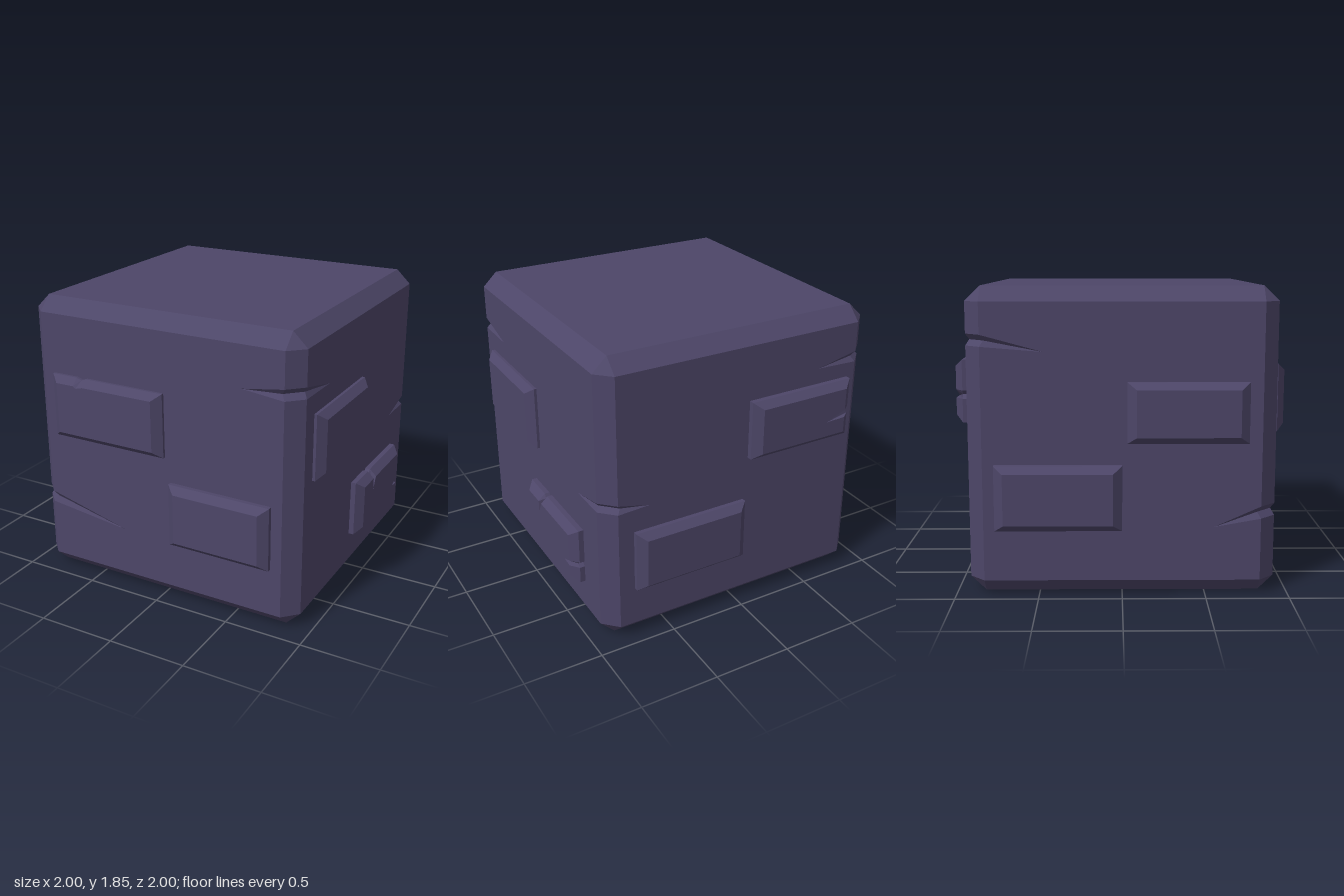
import * as THREE from 'three';

const H = 0.9225, C = 0.83, TOP = 1.85, LOW = 0.09, HIGH = 1.76;

// Cracks on the upright edges: edge k joins side k to side k + 1
// (sides run front, left, back, right). a and b are the crack tips on each side.
const edgeCracks = [
  { bot: 1.47, top: 1.54, a: [0.56, 1.5], b: [-0.51, 1.465] },
  { bot: 0.89, top: 0.95, a: [0.57, 0.89], b: [-0.62, 0.9] },
  { bot: 1.5, top: 1.57, a: [0.55, 1.51], b: [-0.46, 1.47] },
  { bot: 0.47, top: 0.545, a: [0.55, 0.42], b: [-0.26, 0.4] },
];

// Raised bricks in each side's own u (rightwards) and y, with optional chips
const bricks = [
  { side: 0, u: [-0.75, 0.045], y: [0.97, 1.38], depth: 0.985, topChip: { at: -0.535, half: 0.035, dip: 0.012, tip: [-0.55, 1.325] } },
  { side: 0, u: [0.08, 0.76], y: [0.4, 0.81], depth: 0.995 },
  { side: 1, u: [-0.72, 0.01], y: [0.93, 1.345], depth: 0.985 },
  { side: 1, u: [-0.09, 0.63], y: [0.285, 0.655], depth: 1,
    topChip: { at: 0.14, half: 0.02, dip: 0.025, tip: [0.12, 0.535] },
    sideChip: { at: 0.41, half: 0.018, dip: 0.025, tip: [0.5, 0.4] } },
  { side: 2, u: [0.055, 0.775], y: [1.03, 1.41], depth: 1, sideChip: { at: 1.2, half: 0.025, dip: 0.025, tip: [0.58, 1.17] } },
  { side: 2, u: [-0.73, 0.03], y: [0.345, 0.745], depth: 0.995 },
  { side: 3, u: [0.03, 0.75], y: [0.93, 1.295], depth: 0.985 },
  { side: 3, u: [-0.76, 0], y: [0.405, 0.8], depth: 1 },
];

// Collects flat polygons (corners counter-clockwise from outside)
class Faces {
  constructor() { this.positions = []; }
  fan(...pts) {
    for (let i = 1; i < pts.length - 1; i++) this.positions.push(...pts[0], ...pts[i], ...pts[i + 1]);
  }
  // Possibly concave outline in the xy plane at depth z
  panel(outline, z) {
    const pts = outline.map(([x, y]) => new THREE.Vector2(x, y));
    for (const tri of THREE.ShapeUtils.triangulateShape(pts, [])) {
      for (const i of tri) this.positions.push(pts[i].x, pts[i].y, z);
    }
  }
  mesh(name, material) {
    const geometry = new THREE.BufferGeometry();
    geometry.setAttribute('position', new THREE.Float32BufferAttribute(this.positions, 3));
    geometry.computeVertexNormals();
    const mesh = new THREE.Mesh(geometry, material);
    mesh.name = name;
    return mesh;
  }
}

// One upright side with its chamfers and the cracks at both edges
function blockSide(k, material) {
  const f = new Faces();
  const r = edgeCracks[k], l = edgeCracks[(k + 3) % 4];
  f.panel([[-C, LOW], [C, LOW], [C, r.bot], r.a, [C, r.top], [C, HIGH],
    [-C, HIGH], [-C, l.top], l.b, [-C, l.bot]], H);

  // Sloping walls of the cracks
  const inset = 0.022;
  const inner = (c) => c.bot + (c.top - c.bot) * 0.5;
  const rIn = [C - inset, inner(r), H - inset], lIn = [-C + inset, inner(l), H - inset];
  const rTip = [...r.a, H], lTip = [...l.b, H];
  f.fan(rTip, rIn, [C, r.top, H]);
  f.fan(rTip, [C, r.bot, H], rIn);
  f.fan(lTip, [-C, l.top, H], lIn);
  f.fan(lTip, lIn, [-C, l.bot, H]);

  // Right upright chamfer, pinched in at the crack
  const rows = [[LOW, 0], [r.bot, 0], [inner(r), inset], [r.top, 0], [HIGH, 0]];
  for (let i = 0; i < rows.length - 1; i++) {
    const [y0, d0] = rows[i], [y1, d1] = rows[i + 1];
    f.fan([C - d0, y0, H - d0], [H - d0, y0, C - d0], [H - d1, y1, C - d1], [C - d1, y1, H - d1]);
  }

  // Top and bottom chamfers with their corner triangles
  f.fan([-C, HIGH, H], [C, HIGH, H], [C, TOP, C], [-C, TOP, C]);
  f.fan([-C, 0, C], [C, 0, C], [C, LOW, H], [-C, LOW, H]);
  f.fan([C, HIGH, H], [H, HIGH, C], [C, TOP, C]);
  f.fan([C, LOW, H], [C, 0, C], [H, LOW, C]);
  return f.mesh('blockSide', material);
}

// Bevelled brick; chips are V cuts through the top or right edge
function brick({ u: [u0, u1], y: [y0, y1], depth, topChip, sideChip }, material) {
  const f = new Faces(), bu = 0.055, by = 0.042;
  const outer = [[u0, y0], [u1, y0]];
  const inner = [[u0 + bu, y0 + by], [u1 - bu, y0 + by]];
  if (sideChip) {
    const { at, half, dip, tip } = sideChip;
    outer.push([u1, at - half], [u1 - dip, at], [u1, at + half]);
    inner.push([u1 - bu, at - half], tip, [u1 - bu, at + half]);
  }
  outer.push([u1, y1]);
  inner.push([u1 - bu, y1 - by]);
  if (topChip) {
    const { at, half, dip, tip } = topChip;
    outer.push([at + half, y1], [at, y1 - dip], [at - half, y1]);
    inner.push([at + half, y1 - by], tip, [at - half, y1 - by]);
  }
  outer.push([u0, y1]);
  inner.push([u0 + bu, y1 - by]);

  const rim = depth - 0.045;
  outer.forEach((p, i) => {
    const j = (i + 1) % outer.length, q = outer[j];
    f.fan([...p, H - 0.01], [...q, H - 0.01], [...q, rim], [...p, rim]);
    f.fan([...p, rim], [...q, rim], [...inner[j], depth], [...inner[i], depth]);
  });
  f.panel(inner, depth);
  return f.mesh('brick', material);
}

export function createModel() {
  const model = new THREE.Group();
  model.name = 'stoneBlock';
  const stone = new THREE.MeshStandardMaterial({ color: 0x4d4668 });
  stone.name = 'purpleStone';

  for (let k = 0; k < 4; k++) {
    const side = new THREE.Group();
    side.name = ['frontSide', 'leftSide', 'backSide', 'rightSide'][k];
    side.rotation.y = k * Math.PI / 2;
    side.add(blockSide(k, stone));
    for (const b of bricks) if (b.side === k) side.add(brick(b, stone));
    model.add(side);
  }

  // Flat top and bottom
  const caps = new Faces();
  caps.fan([-C, TOP, C], [C, TOP, C], [C, TOP, -C], [-C, TOP, -C]);
  caps.fan([-C, 0, -C], [C, 0, -C], [C, 0, C], [-C, 0, C]);
  model.add(caps.mesh('topAndBottom', stone));
  return model;
}
